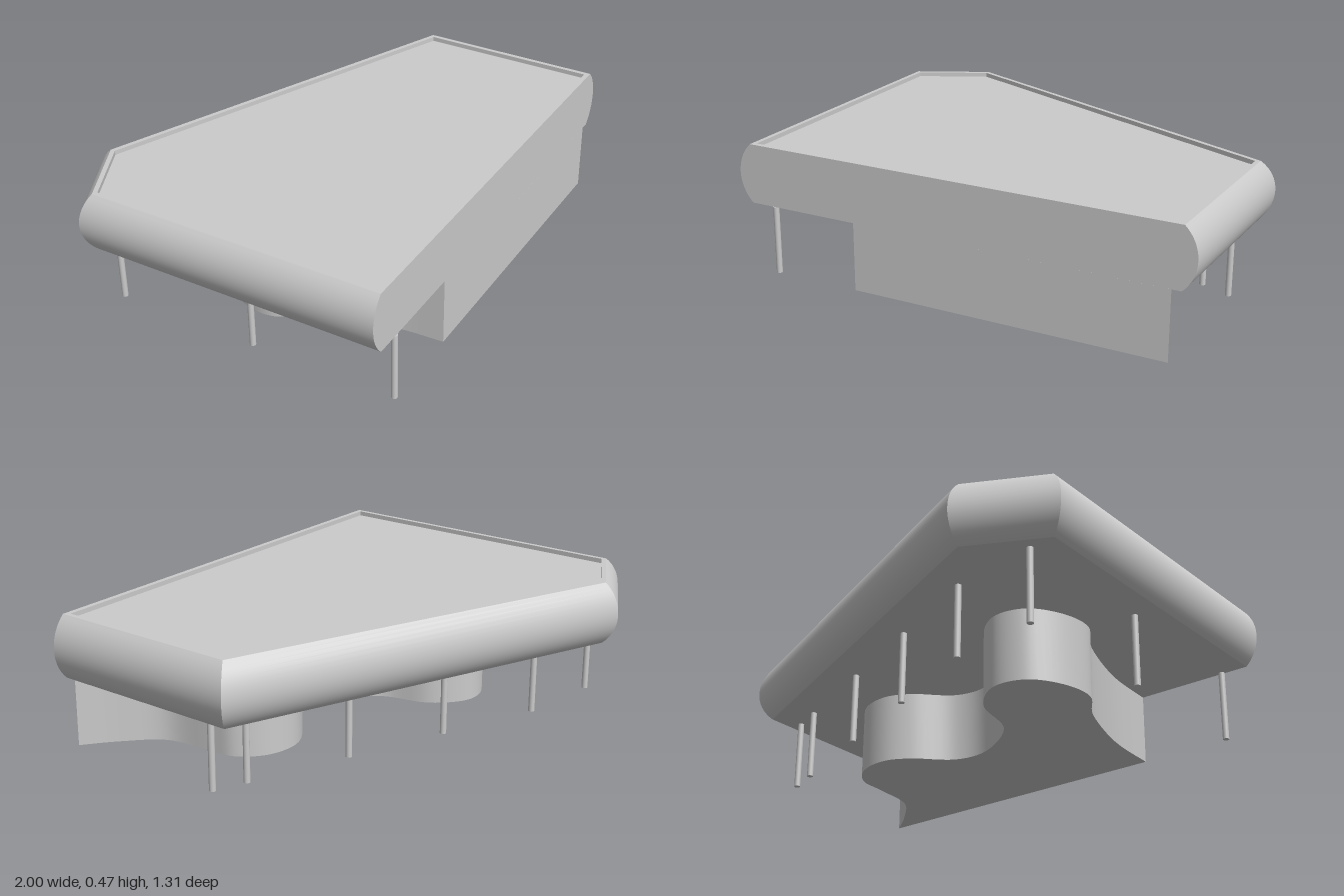
import * as THREE from 'three';
import { mergeGeometries, toCreasedNormals } from 'three/addons/utils/BufferGeometryUtils.js';

const BOTTOM = 0.25, TOP = 0.468, BULGE = 0.048, FRONT_EDGE = 2;

// plan corners [x, z], clockwise seen from above; edge 2 is the flat front wall
const PLAN = [[-0.775, -0.66], [0.735, -0.66], [0.995, 0], [-0.59, 0.652], [-1, -0.405]];

// plan moved inwards by a separate amount for the rounded sides and the flat front
function insetPlan(side, front) {
  const n = PLAN.length;
  const lines = PLAN.map((p, i) => {
    const q = PLAN[(i + 1) % n];
    const dx = q[0] - p[0], dz = q[1] - p[1], len = Math.hypot(dx, dz);
    const nx = dz / len, nz = -dx / len;
    return [nx, nz, nx * p[0] + nz * p[1] - (i === FRONT_EDGE ? front : side)];
  });
  return lines.map(([a, b, c], i) => {
    const [d, e, f] = lines[(i + n - 1) % n];
    const det = a * e - b * d;
    return [(c * e - b * f) / det, (a * f - c * d) / det];
  });
}

// one strip per plan edge, swept along a profile of [y, side inset, front inset]
function sweepPlan(profile) {
  const rings = profile.map(([y, s, f]) => insetPlan(s, f).map(([x, z]) => [x, y, z]));
  const strips = PLAN.map((_, i) => {
    const pos = [], index = [];
    rings.forEach((ring, k) => {
      pos.push(...ring[i], ...ring[(i + 1) % PLAN.length]);
      if (k) {
        const a = 2 * k - 2;
        index.push(a + 1, a, a + 2, a + 1, a + 2, a + 3);
      }
    });
    const g = new THREE.BufferGeometry();
    g.setAttribute('position', new THREE.Float32BufferAttribute(pos, 3));
    g.setIndex(index);
    g.computeVertexNormals();
    return g;
  });
  return mergeGeometries(strips);
}

// horizontal cap of the plan, facing up or down
function planCap(y, side, front, up) {
  const sign = up ? -1 : 1;
  const pts = insetPlan(side, front).map(([x, z]) => new THREE.Vector2(x, sign * z));
  return new THREE.ShapeGeometry(new THREE.Shape(pts)).rotateX(sign * Math.PI / 2).translate(0, y, 0);
}

export function createModel() {
  const group = new THREE.Group();
  const material = new THREE.MeshStandardMaterial({ color: 0xcccccc });
  const add = (name, geometry) => {
    const mesh = new THREE.Mesh(geometry, material);
    mesh.name = name;
    group.add(mesh);
    return mesh;
  };

  // upper storey: sides bulge in a circular arc, front stays flat
  const half = (TOP - BOTTOM) / 2;
  const radius = (half * half + BULGE * BULGE) / (2 * BULGE);
  const sweep = Math.asin(half / radius);
  const arc = [];
  for (let k = 0; k <= 16; k++) {
    const t = sweep * (k / 8 - 1);
    arc.push([BOTTOM + half + radius * Math.sin(t), radius * (1 - Math.cos(t)), 0]);
  }
  add('upperStoreyWalls', sweepPlan(arc));
  add('upperStoreyUnderside', planCap(BOTTOM, BULGE, 0, false));

  // parapet around a slightly sunken roof
  const rim = BULGE + 0.016, frontRim = 0.018, roofY = TOP - 0.016;
  add('parapetTop', sweepPlan([[TOP, BULGE, 0], [TOP, rim, frontRim]]));
  add('parapetInside', sweepPlan([[TOP, rim, frontRim], [roofY, rim, frontRim]]));
  add('roof', planCap(roofY, rim, frontRim, true));

  // ground floor: wavy back wall closed by a straight front wall
  const wave = [
    [0.92, 0.031], [0.79, -0.01], [0.65, -0.08], [0.57, -0.22], [0.52, -0.31], [0.42, -0.355],
    [0.31, -0.335], [0.235, -0.26], [0.165, -0.12], [0.04, -0.065], [-0.16, -0.11],
    [-0.28, -0.255], [-0.42, -0.305], [-0.525, -0.245], [-0.555, -0.12], [-0.52, 0],
    [-0.40, 0.09], [-0.25, 0.28], [-0.155, 0.473],
  ].map(([x, z]) => new THREE.Vector2(x, -z));
  const curve = new THREE.SplineCurve(wave);
  const floorShape = new THREE.Shape(curve.getPoints(108));
  const floor = new THREE.ExtrudeGeometry(floorShape, { depth: BOTTOM, bevelEnabled: false, curveSegments: 1 });
  add('groundFloor', toCreasedNormals(floor.rotateX(-Math.PI / 2), 0.6));

  // slim columns under the overhang
  const column = new THREE.CylinderGeometry(0.011, 0.011, BOTTOM, 16).translate(0, BOTTOM / 2, 0);
  const spots = [
    [0.693, -0.5], [0.573, -0.5], [0.2, -0.5], [-0.173, -0.5], [-0.55, -0.5],
    [-0.855, -0.425], [-0.66, 0.085], [-0.46, 0.592],
  ];
  for (const [x, z] of spots) add('column', column).position.set(x, 0, z);

  return group;
}
